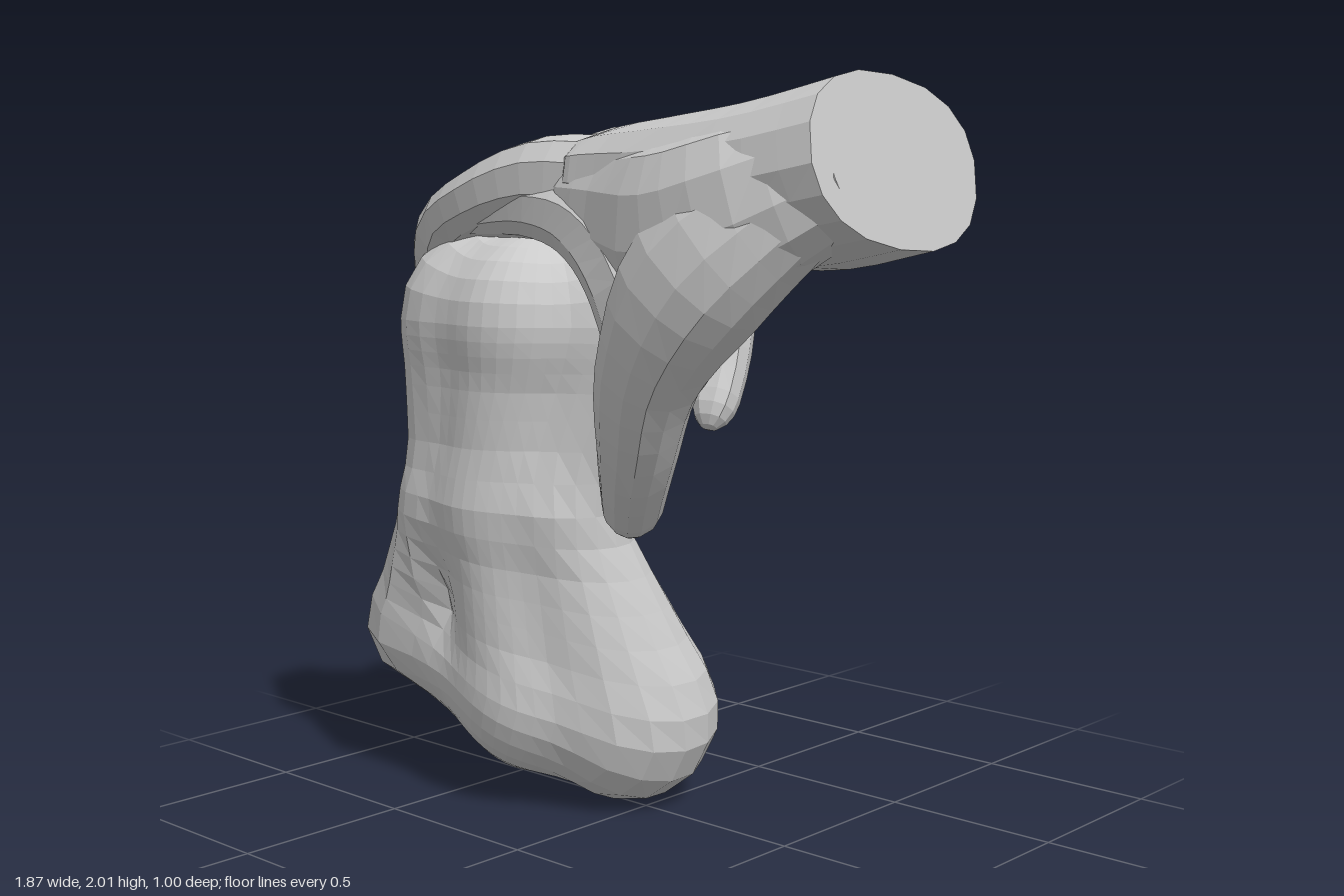
import * as THREE from 'three';

const V = (x, y, z) => new THREE.Vector3(x, y, z);
const material = new THREE.MeshStandardMaterial({ color: 0xcccccc, flatShading: true });

// Join rows of points (rings ordered counter-clockwise about the path) into a skin.
function skin(name, rows) {
  const n = rows[0].length, positions = [], index = [];
  rows.forEach(row => row.forEach(p => positions.push(p.x, p.y, p.z)));
  for (let i = 0; i < rows.length - 1; i++) {
    for (let j = 0; j < n; j++) {
      const k = (j + 1) % n;
      const a = i * n + j, b = i * n + k, c = a + n, d = b + n;
      index.push(a, b, c, b, d, c);
    }
  }
  const geometry = new THREE.BufferGeometry();
  geometry.setAttribute('position', new THREE.Float32BufferAttribute(positions, 3));
  geometry.setIndex(index);
  geometry.computeVertexNormals();
  const mesh = new THREE.Mesh(geometry, material);
  mesh.name = name;
  return mesh;
}

// Slightly squared ellipse
const boxy = v => Math.sign(v) * Math.abs(v) ** 0.85;

// Sweep an ellipse along a curve. Sections: [x, y, z, halfWidth, halfHeight].
// The start is capped flat, the end is rounded over the last part of the path.
function limb(name, sections, side, sides = 10, steps = 14, round = 0.09) {
  const curve = new THREE.CatmullRomCurve3(sections.map(s => V(s[0], s[1], s[2])));
  const sizes = new THREE.CatmullRomCurve3(sections.map(s => V(s[3], s[4], 0)));
  const rows = [Array.from({ length: sides }, () => curve.getPoint(0))];
  const us = [];
  for (let i = 0; i <= steps; i++) us.push((1 - round) * i / steps);
  for (let i = 1; i <= 4; i++) us.push(1 - round + round * Math.sin(i * Math.PI / 8));
  for (const u of us) {
    const p = curve.getPoint(u), t = curve.getTangent(u), r = sizes.getPoint(u);
    const s = side.clone().addScaledVector(t, -side.dot(t)).normalize();
    const n = t.clone().cross(s);
    const e = Math.max(0, (u - 1 + round) / round);
    const taper = Math.sqrt(Math.max(0, 1 - e * e));
    rows.push(Array.from({ length: sides }, (_, j) => {
      const a = (j + 0.5) / sides * Math.PI * 2;
      return p.clone()
        .addScaledVector(s, boxy(Math.cos(a)) * r.x * taper)
        .addScaledVector(n, boxy(Math.sin(a)) * r.y * taper);
    }));
  }
  return skin(name, rows);
}

// Signed distance to a tapered capsule between balls a and b, each [x, y, z, r].
function capsule(p, a, b) {
  const d = V(b[0] - a[0], b[1] - a[1], b[2] - a[2]);
  const q = V(p.x - a[0], p.y - a[1], p.z - a[2]);
  const h = THREE.MathUtils.clamp(q.dot(d) / d.lengthSq(), 0, 1);
  const e = h * h * (3 - 2 * h);
  return q.addScaledVector(d, -h).length() - (a[3] + (b[3] - a[3]) * e);
}

function smoothMin(a, b, k) {
  const h = Math.max(k - Math.abs(a - b), 0) / k;
  return Math.min(a, b) - h * h * k / 4;
}

// Bone end: two columns, each with a knob at top and bottom, joined by a thick web.
function makeBone() {
  const topInner = [-0.06, 1.37, -0.02, 0.25], topOuter = [-0.465, 1.37, 0.14, 0.24];
  const midInner = [-0.19, 0.85, 0.16, 0.165], midOuter = [-0.52, 0.84, 0.2, 0.175];
  const lowInner = [-0.09, 0.25, -0.03, 0.24], lowOuter = [-0.74, 0.44, 0.14, 0.18];
  const topWeb = [-0.26, 1.36, 0.18, 0.215], midWeb = [-0.34, 0.86, 0.2, 0.195], lowWeb = [-0.3, 0.31, 0.11, 0.22];
  const links = [
    [topInner, midInner], [midInner, lowInner],
    [topOuter, midOuter], [midOuter, lowOuter],
    [topWeb, midWeb], [midWeb, lowWeb],
    [topInner, topWeb], [topWeb, topOuter],
    [lowInner, lowWeb], [lowWeb, lowOuter],
  ];
  const field = p => links.reduce((d, [a, b]) => smoothMin(d, capsule(p, a, b), 0.06), 9);

  // Walk outward from the inside until the surface is crossed, then refine.
  const surface = (origin, dir) => {
    const at = t => origin.clone().addScaledVector(dir, t);
    let far = 0.02;
    while (far < 1.5 && field(at(far)) < 0) far += 0.02;
    let near = far - 0.02;
    for (let i = 0; i < 10; i++) {
      const m = (near + far) / 2;
      if (field(at(m)) < 0) near = m; else far = m;
    }
    return at(near);
  };

  // Rings fan out below the spine, climb along it, then close over the top.
  const spine = new THREE.CatmullRomCurve3([
    V(-0.36, 0.36, 0.1), V(-0.35, 0.62, 0.15), V(-0.34, 0.9, 0.19), V(-0.28, 1.2, 0.15), V(-0.26, 1.36, 0.13),
  ]);
  const stations = [];
  for (let i = 0; i <= 8; i++) stations.push([0, (i / 8 - 1) * Math.PI / 2]);
  for (let i = 1; i < 15; i++) stations.push([i / 15, 0]);
  for (let i = 0; i <= 7; i++) stations.push([1, i / 7 * Math.PI / 2]);
  const rows = stations.map(([u, elevation]) => {
    const origin = spine.getPoint(u);
    const tilt = -0.34 * Math.max(0, 1 - u * 1.8);
    const x = V(1, tilt, 0).normalize(), up = V(-tilt, 1, 0).normalize();
    return Array.from({ length: 36 }, (_, j) => {
      const a = j / 36 * Math.PI * 2, c = Math.cos(elevation);
      const dir = x.clone().multiplyScalar(Math.cos(a) * c)
        .add(V(0, 0, -Math.sin(a) * c))
        .addScaledVector(up, Math.sin(elevation));
      return surface(origin, dir);
    });
  });
  return skin('bone', rows);
}

function makeHand() {
  const hand = new THREE.Group();
  hand.name = 'hand';
  const across = V(0, 0.16, 1);

  // Wrist and back of the hand
  hand.add(limb('palm', [
    [0.885, 1.79, 0.085, 0.305, 0.212],
    [0.62, 1.735, 0.07, 0.35, 0.205],
    [0.36, 1.715, 0.03, 0.38, 0.185],
    [0.12, 1.71, -0.02, 0.4, 0.155],
    [-0.02, 1.71, -0.02, 0.38, 0.135],
    [-0.14, 1.69, 0.02, 0.32, 0.1],
  ], across, 18, 12, 0.18));

  // Fingers, each [x, y, z] along the bones from knuckle to tip
  const fingers = {
    littleFinger: [[0.18, 1.71, -0.27], [0.01, 1.68, -0.36], [-0.06, 1.6, -0.41], [-0.06, 1.42, -0.42], [-0.03, 1.24, -0.37], [0, 1.04, -0.26]],
    ringFinger: [[0.12, 1.74, -0.12], [-0.06, 1.73, -0.21], [-0.22, 1.64, -0.29], [-0.275, 1.45, -0.32], [-0.26, 1.25, -0.27], [-0.22, 1.05, -0.16]],
    middleFinger: [[0.06, 1.77, 0.07], [-0.14, 1.77, 0.03], [-0.37, 1.67, -0.08], [-0.45, 1.5, -0.13], [-0.47, 1.3, -0.13], [-0.45, 1.08, -0.07]],
  };
  const widths = [0.1, 0.1, 0.09, 0.08, 0.073, 0.065];
  for (const [name, path] of Object.entries(fingers)) {
    hand.add(limb(name, path.map((p, i) => [...p, widths[i], widths[i]]), V(0.3, 0, 1)));
  }
  hand.add(limb('indexFinger', [
    [0.1, 1.74, 0.22, 0.13, 0.12], [-0.12, 1.75, 0.25, 0.125, 0.11], [-0.36, 1.695, 0.24, 0.125, 0.09],
    [-0.57, 1.6, 0.19, 0.12, 0.085], [-0.66, 1.42, 0.13, 0.095, 0.075], [-0.675, 1.2, 0.09, 0.07, 0.055],
  ], V(0.2, 0, 1)));

  // Thumb, the muscle at its base, and the fold of skin towards the index finger
  hand.add(limb('thumb', [
    [0.74, 1.74, 0.22, 0.15, 0.14], [0.5, 1.53, 0.33, 0.165, 0.19], [0.32, 1.28, 0.33, 0.125, 0.14],
    [0.2, 1.04, 0.25, 0.1, 0.1], [0.045, 0.81, 0.11, 0.07, 0.07],
  ], V(0, 0, 1), 12, 14, 0.07));
  hand.add(limb('thumbBase', [
    [0.8, 1.77, 0.17, 0.17, 0.15], [0.6, 1.69, 0.27, 0.18, 0.21],
    [0.38, 1.64, 0.29, 0.17, 0.22], [0.14, 1.67, 0.27, 0.125, 0.16], [-0.1, 1.71, 0.26, 0.1, 0.1],
  ], V(0, 0, 1), 12, 10, 0.2));
  hand.add(limb('thumbWeb', [
    [-0.4, 1.64, 0.24, 0.07, 0.05], [-0.1, 1.67, 0.26, 0.11, 0.09],
    [0.08, 1.63, 0.28, 0.115, 0.11], [0.24, 1.5, 0.3, 0.13, 0.12], [0.33, 1.22, 0.31, 0.1, 0.1],
  ], V(0, 0, 1)));
  return hand;
}

export function createModel() {
  const model = new THREE.Group();
  model.name = 'handHoldingBone';
  model.add(makeBone(), makeHand());
  return model;
}
